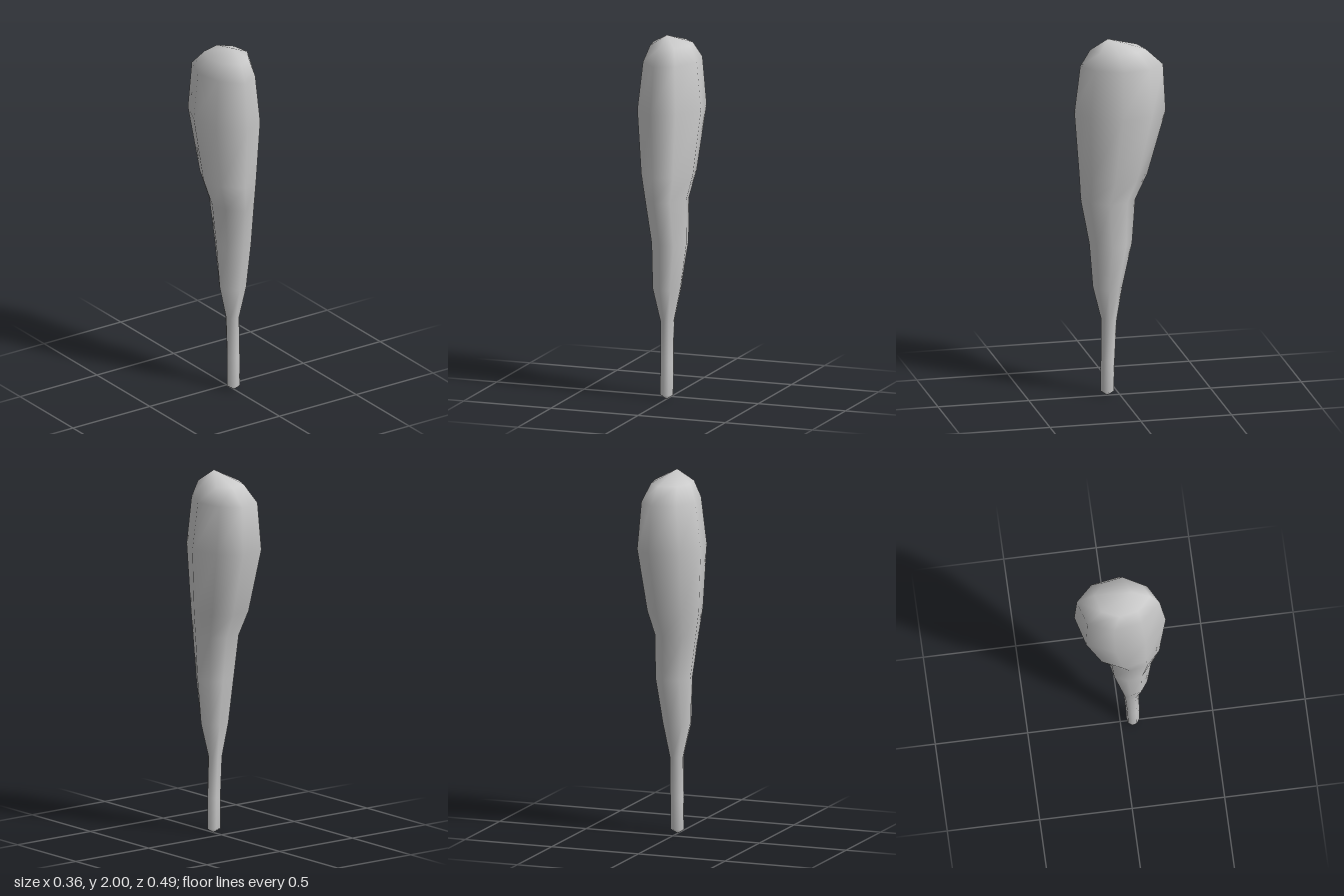
import * as THREE from 'three';

// Irregular eight-sided cross-section, normalised to -1..1 in x and z
const section = [
  [0.25, -1], [0.83, -0.59], [1, 0.1], [0.52, 0.75],
  [-0.16, 1], [-0.83, 0.49], [-1, -0.2], [-0.64, -0.82],
];

// Rings from grip to head: y, xMin, xMax, zMin, zMax
const rings = [
  [0.025, -0.038, 0.038, 0.034, 0.104],
  [0.2, -0.036, 0.039, 0.03, 0.103],
  [0.425, -0.038, 0.038, 0.018, 0.1],
  [0.61, -0.08, 0.08, -0.01, 0.145],
  [0.86, -0.088, 0.112, -0.06, 0.167],
  [1.1, -0.118, 0.115, -0.08, 0.21],
  [1.24, -0.15, 0.145, -0.145, 0.217],
  [1.59, -0.18, 0.18, -0.243, 0.243],
  [1.85, -0.15, 0.152, -0.23, 0.212],
  [1.94, -0.108, 0.116, -0.135, 0.16],
];

// Closed, smooth-shaded skin over the rings, with a point at each end
function loft(bottom, top) {
  const n = section.length;
  const positions = [];
  const index = [];
  for (const [y, x0, x1, z0, z1] of rings) {
    for (const [u, w] of section) {
      positions.push((x0 + x1) / 2 + u * (x1 - x0) / 2, y, (z0 + z1) / 2 + w * (z1 - z0) / 2);
    }
  }
  const low = rings.length * n;
  const high = low + 1;
  const last = low - n;
  positions.push(...bottom, ...top);
  for (let i = 0; i < n; i++) {
    const j = (i + 1) % n;
    for (let r = 0; r < last; r += n) {
      index.push(r + i, r + n + i, r + j, r + j, r + n + i, r + n + j);
    }
    index.push(low, i, j, high, last + j, last + i);
  }
  const geometry = new THREE.BufferGeometry();
  geometry.setAttribute('position', new THREE.Float32BufferAttribute(positions, 3));
  geometry.setIndex(index);
  geometry.computeVertexNormals();
  return geometry;
}

export function createModel() {
  const group = new THREE.Group();
  group.name = 'woodenClub';
  const club = new THREE.Mesh(
    loft([0, 0, 0.07], [0, 2, 0.065]),
    new THREE.MeshStandardMaterial({ color: 0xcccccc }),
  );
  club.name = 'club';
  group.add(club);
  return group;
}
